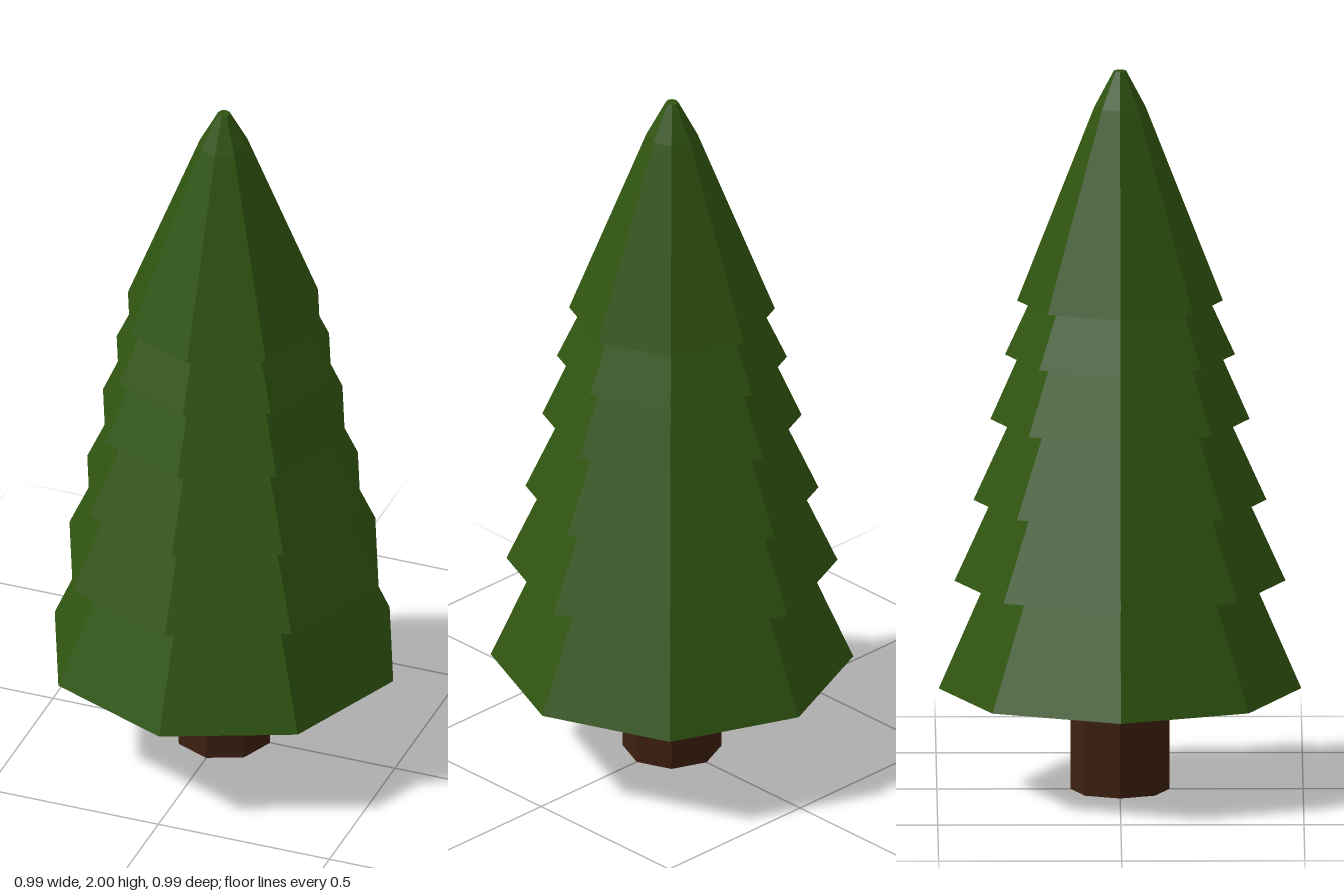
import * as THREE from 'three';

const SIDES = 8;
const green = new THREE.MeshStandardMaterial({ color: 0x2f5410, flatShading: true });
const brown = new THREE.MeshStandardMaterial({ color: 0x3c1f0f, flatShading: true });

// Faceted octagonal solid from a [radius, height] profile, listed from bottom to top
function turned(name, profile, material) {
  const points = profile.map(([r, y]) => new THREE.Vector2(r, y));
  const geometry = new THREE.LatheGeometry(points, SIDES).toNonIndexed();
  geometry.computeVertexNormals();
  const mesh = new THREE.Mesh(geometry, material);
  mesh.name = name;
  return mesh;
}

export function createModel() {
  const tree = new THREE.Group();
  tree.name = 'pineTree';

  // Trunk with a closed foot, and the narrow collar where the foliage meets it
  tree.add(turned('trunk', [[0, 0], [0.135, 0], [0.135, 0.268]], brown));
  tree.add(turned('foliageCollar', [[0.135, 0.268], [0.135, 0.28]], green));

  // Foliage tiers: height and radius of the rim, and radius where the next tier begins
  const tiers = [
    { y: 0.28, rim: 0.495, top: 0.365 },
    { y: 0.58, rim: 0.452, top: 0.35 },
    { y: 0.805, rim: 0.4, top: 0.298 },
    { y: 1.03, rim: 0.354, top: 0.275 },
    { y: 1.21, rim: 0.314, top: 0.245 },
  ];
  const crownBase = 1.36;
  const foliage = new THREE.Group();
  foliage.name = 'foliage';
  let inner = 0.13;
  tiers.forEach(({ y, rim, top }, i) => {
    const topY = i + 1 < tiers.length ? tiers[i + 1].y : crownBase;
    // Flat underside, then the sloping skirt
    foliage.add(turned(`foliageTier${i + 1}`, [[inner, y], [rim, y], [top, topY]], green));
    inner = top;
  });

  // Tall crown, steeper below and pinched towards a small flat tip
  foliage.add(turned('crown',
    [[inner, crownBase], [0.281, crownBase], [0.07, 1.9], [0.017, 2], [0, 2]], green));
  tree.add(foliage);
  return tree;
}
